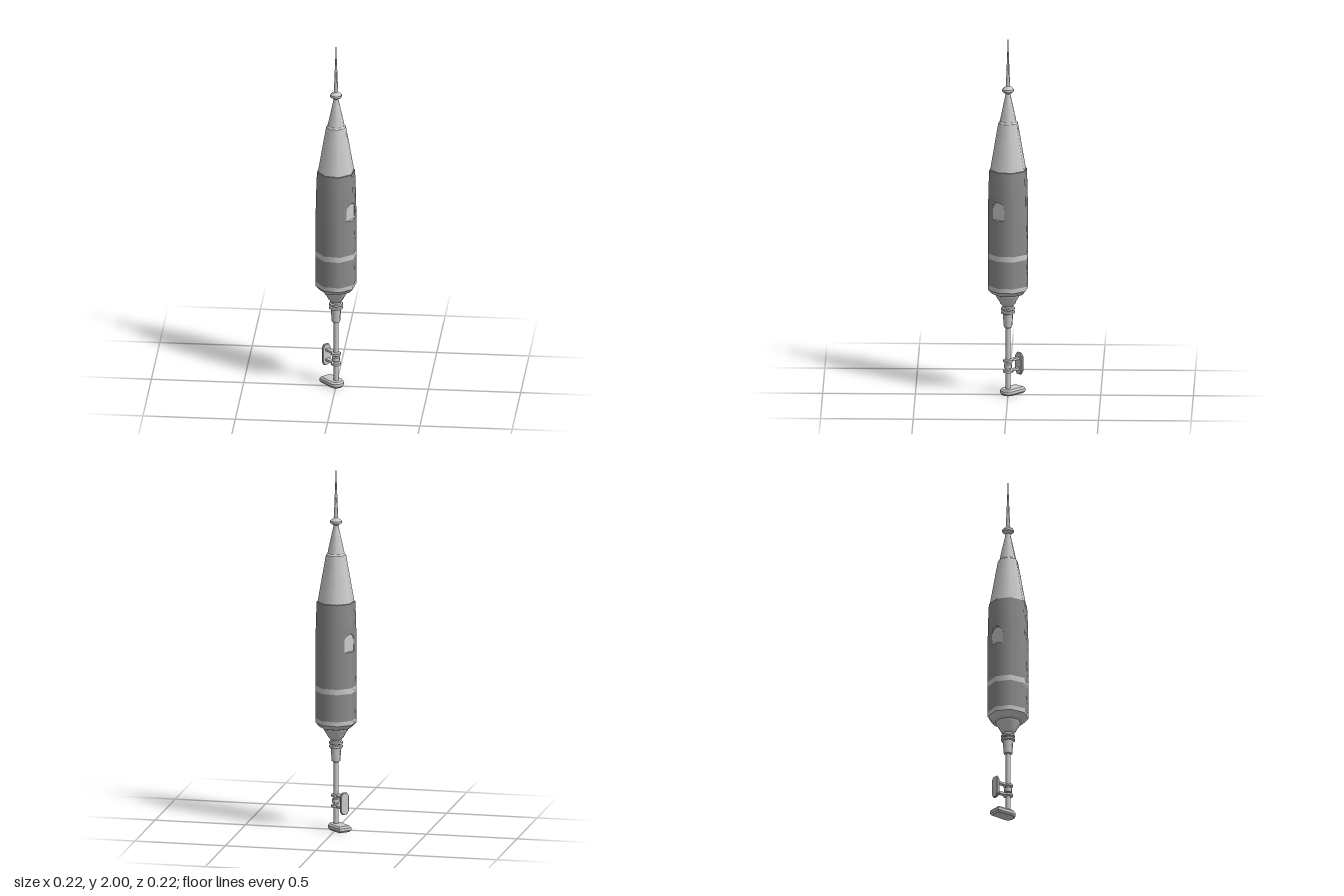
import * as THREE from 'three';
import { mergeGeometries } from 'three/addons/utils/BufferGeometryUtils.js';

const DEG = Math.PI / 180;
const START = 15 * DEG; // rotation of the octagon's corners
const light = new THREE.MeshStandardMaterial({ color: 0xcccccc });
const dark = new THREE.MeshStandardMaterial({ color: 0x8c8c8c });

function add(parent, name, geometry, material = light) {
  const mesh = new THREE.Mesh(geometry, material);
  mesh.name = name;
  parent.add(mesh);
  return mesh;
}

// Eight-sided turned part; profile is [radius, y] from bottom to top.
// Each profile step keeps a sharp edge unless smooth is set.
function turned(profile, { smooth = false, sides = 8, start = START, length = Math.PI * 2 } = {}) {
  const pts = profile.map(([r, y]) => new THREE.Vector2(r, y));
  if (smooth) return new THREE.LatheGeometry(pts, sides, start, length);
  return mergeGeometries(pts.slice(1).map((p, i) =>
    new THREE.LatheGeometry([pts[i], p], sides, start, length)));
}

// Window zone of the body
const Y0 = 1.0, Y1 = 1.13, R0 = 0.112, R1 = 0.109;
const SPRING = 1.055, TOP = 1.1, HALF = 0.475, PANE = 0.094;
const radius = (y) => R0 + (R1 - R0) * (y - Y0) / (Y1 - Y0);
// Point on the two faces beside a corner that points to +z; u runs -1..1
function facePoint(u, y) {
  const r = radius(y), s = u * r * Math.SQRT1_2;
  return new THREE.Vector3(s, y, r - Math.abs(s) * Math.tan(22.5 * DEG));
}

// Wall half with half of the arched opening cut out at the corner
function wallHalf(side) {
  const shape = new THREE.Shape();
  shape.moveTo(HALF, Y0).lineTo(1, Y0).lineTo(1, Y1).lineTo(0, Y1).lineTo(0, TOP);
  shape.absellipse(0, SPRING, HALF, TOP - SPRING, Math.PI / 2, 0, true);
  shape.closePath();
  const geo = new THREE.ShapeGeometry(shape, 6);
  const pos = geo.attributes.position, nor = geo.attributes.normal;
  for (let i = 0; i < pos.count; i++) {
    const p = facePoint(pos.getX(i) * side, pos.getY(i));
    pos.setXYZ(i, p.x, p.y, p.z);
    p.setY(0).normalize();
    nor.setXYZ(i, p.x, p.y, p.z);
  }
  if (side < 0) geo.index.array.reverse();
  return geo;
}

// Outline of the opening, as [u, y]
function archOutline() {
  const pts = [[0, Y0], [HALF, Y0]];
  for (let i = 0; i <= 12; i++) {
    const a = Math.PI * i / 12;
    pts.push([HALF * Math.cos(a), SPRING + (TOP - SPRING) * Math.sin(a)]);
  }
  return [...pts, [-HALF, Y0], [0, Y0]];
}

// Inner edge of the opening, from the wall back to the pane
function reveal() {
  const v = [], idx = [];
  archOutline().forEach(([u, y], i, all) => {
    const p = facePoint(u, y);
    v.push(p.x, p.y, p.z, p.x, p.y, Math.min(PANE, p.z));
    const k = i * 2;
    if (i < all.length - 1) idx.push(k, k + 2, k + 1, k + 1, k + 2, k + 3);
  });
  const geo = new THREE.BufferGeometry();
  geo.setAttribute('position', new THREE.Float32BufferAttribute(v, 3));
  geo.setIndex(idx);
  const flat = geo.toNonIndexed();
  flat.computeVertexNormals();
  return flat;
}

function windowBay() {
  const bay = new THREE.Group();
  bay.name = 'windowBay';
  for (const side of [1, -1]) add(bay, 'windowWall', wallHalf(side), dark);
  const edge = add(bay, 'windowReveal', reveal(), light.clone());
  edge.material.side = THREE.DoubleSide;
  const outline = archOutline().map(([u, y]) => new THREE.Vector2(facePoint(u, y).x, y));
  add(bay, 'windowPane', new THREE.ShapeGeometry(new THREE.Shape(outline))).position.z = PANE;
  return bay;
}

function createBody() {
  const body = new THREE.Group();
  body.name = 'body';
  add(body, 'lowerBand', turned([[0.111, 0.595], [0.112, 0.62]]));
  add(body, 'lowerWall', turned([[0.112, 0.62], [0.112, 0.77]]), dark);
  add(body, 'upperBand', turned([[0.112, 0.77], [0.112, 0.8]]));
  add(body, 'middleWall', turned([[0.112, 0.8], [0.112, Y0]]), dark);
  add(body, 'upperWall', turned([[R1, Y1], [0.107, 1.2], [0.104, 1.265], [0.098, 1.267]]), dark);
  // Two window corners with plain walls between them
  for (const angle of [60, 240]) {
    const bay = windowBay();
    bay.rotation.y = angle * DEG;
    body.add(bay);
    add(body, 'plainWall', turned([[R0, Y0], [R1, Y1]],
      { sides: 2, start: (angle + 45) * DEG, length: Math.PI / 2 }), dark);
  }
  return body;
}

function createRoof() {
  const roof = new THREE.Group();
  roof.name = 'roof';
  add(roof, 'lowerCone', turned([[0.1, 1.262], [0.088, 1.33], [0.071, 1.43], [0.054, 1.525]], { smooth: true }));
  add(roof, 'coneLedge', turned([[0.054, 1.525], [0.046, 1.533]]));
  add(roof, 'upperCone', turned([[0.046, 1.533], [0.034, 1.59], [0.022, 1.645], [0.012, 1.692]], { smooth: true }));
  add(roof, 'finialRing', turned([[0.012, 1.686], [0.032, 1.7], [0.032, 1.712], [0.012, 1.73]]));
  add(roof, 'spire', turned([[0.012, 1.725], [0.007, 1.85], [0.001, 2]], { sides: 4 }));
  return roof;
}

function createStem() {
  const stem = new THREE.Group();
  stem.name = 'stem';
  add(stem, 'cup', turned([[0.03, 0.5], [0.042, 0.512], [0.05, 0.53], [0.064, 0.55], [0.07, 0.565]], { smooth: true }));
  add(stem, 'cupRim', turned([[0.07, 0.565], [0.088, 0.57], [0.111, 0.595]]));
  add(stem, 'neck', turned([[0.03, 0.455], [0.03, 0.505]]));
  for (const y of [0.463, 0.483])
    add(stem, 'neckRing', turned([[0.028, y - 0.009], [0.039, y - 0.005], [0.039, y + 0.005], [0.028, y + 0.009]]));
  add(stem, 'socket', turned([[0.014, 0.375], [0.023, 0.38], [0.029, 0.455], [0.014, 0.46]]));
  add(stem, 'pole', turned([[0.014, 0.02], [0.014, 0.39]]));
  return stem;
}

// Side grip and foot, built along +z and turned to face the back
function createGripAndFoot() {
  const group = new THREE.Group();
  group.name = 'gripAndFoot';
  group.rotation.y = 225 * DEG;

  for (const y of [0.132, 0.19]) {
    add(group, 'collar', turned([[0.013, y - 0.008], [0.027, y - 0.006], [0.027, y + 0.006], [0.013, y + 0.008]]));
    add(group, 'gripArm', new THREE.BoxGeometry(0.022, 0.012, 0.07)).position.set(0, y, 0.047);
  }
  add(group, 'middleCollar', turned([[0.013, 0.146], [0.022, 0.15], [0.022, 0.172], [0.013, 0.176]]));

  const plate = new THREE.Shape([[-0.013, 0.1], [0.013, 0.1], [0.025, 0.118], [0.025, 0.202],
    [0.013, 0.22], [-0.013, 0.22], [-0.025, 0.202], [-0.025, 0.118]].map((p) => new THREE.Vector2(...p)));
  add(group, 'gripPlate', new THREE.ExtrudeGeometry(plate, {
    depth: 0.008, bevelThickness: 0.004, bevelSize: 0.003, bevelOffset: -0.002, bevelSegments: 1,
  })).position.z = 0.08;

  // Foot plate: rounded under the pole, blunt at the far end
  const sole = new THREE.Shape();
  sole.moveTo(0.034, -0.09).lineTo(0.038, 0);
  sole.absarc(0, 0, 0.038, 0, Math.PI, false);
  sole.lineTo(-0.034, -0.09);
  sole.closePath();
  const foot = new THREE.ExtrudeGeometry(sole, {
    depth: 0.015, bevelThickness: 0.01, bevelSize: 0.008, bevelOffset: -0.004, bevelSegments: 1, curveSegments: 6,
  });
  foot.rotateX(-Math.PI / 2).translate(0, 0.01, 0);
  add(group, 'foot', foot);
  return group;
}

export function createModel() {
  const model = new THREE.Group();
  model.name = 'tower';
  model.add(createBody(), createRoof(), createStem(), createGripAndFoot());
  return model;
}
